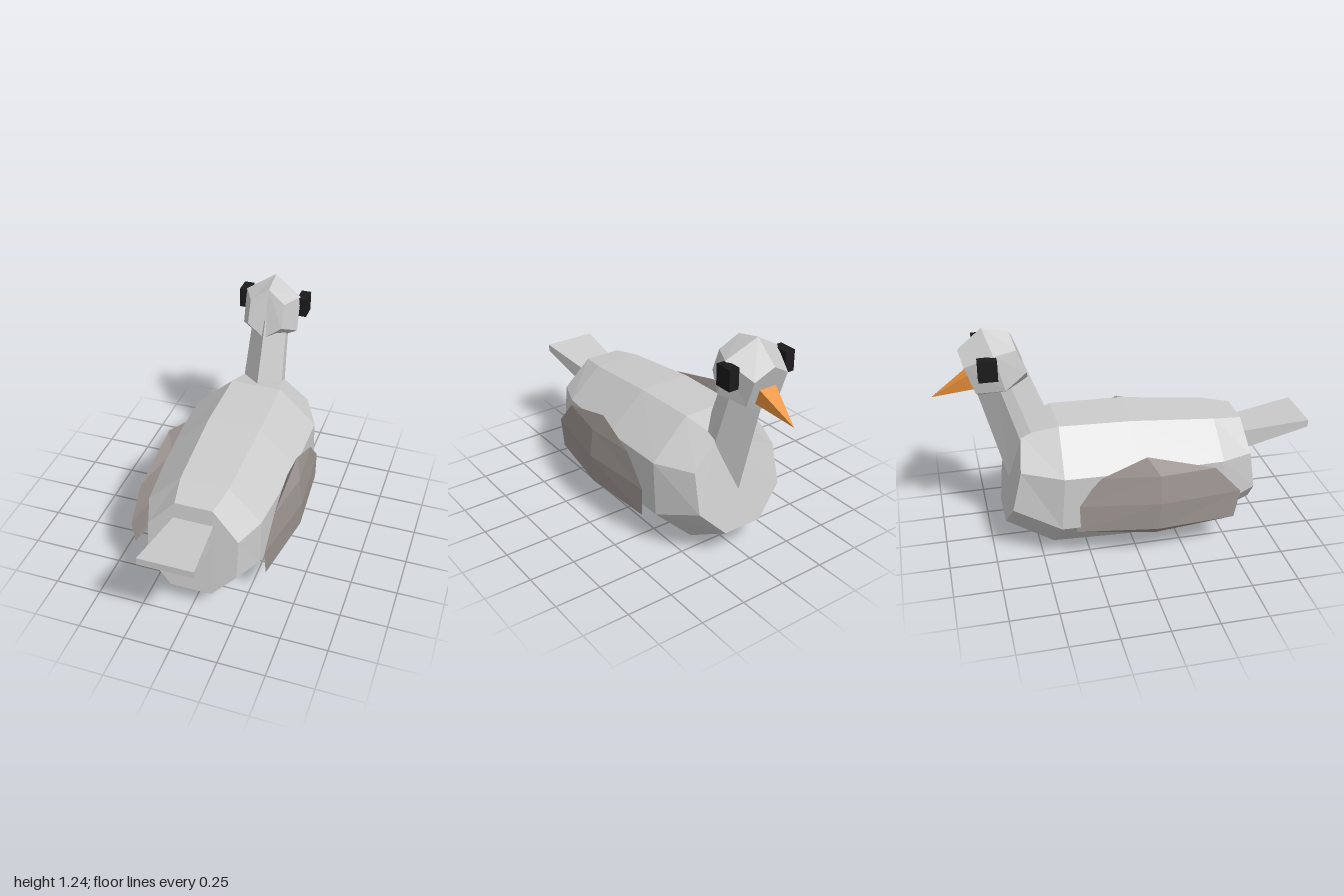
import * as THREE from 'three';

const grey = new THREE.MeshStandardMaterial({ color: 0xcccccc, flatShading: true });
const wingMat = new THREE.MeshStandardMaterial({ color: 0x9c9490, flatShading: true });
const beakMat = new THREE.MeshStandardMaterial({ color: 0xe8913a, flatShading: true });
const eyeMat = new THREE.MeshStandardMaterial({ color: 0x1c1a1c, flatShading: true });

// Complete a half cross-section (x >= 0, top to bottom) with its mirror image.
const mirrorRing = (half) => [
  ...half,
  ...half.filter((p) => p[0] > 0).reverse().map(([x, y, z]) => [-x, y, z]),
];

// Faceted closed skin over rings of equal point count, turned to face outward.
function loft(rings) {
  const tris = [];
  const n = rings[0].length;
  for (let r = 0; r < rings.length - 1; r++) {
    for (let i = 0; i < n; i++) {
      const j = (i + 1) % n;
      const [a, b, c, d] = [rings[r][i], rings[r][j], rings[r + 1][j], rings[r + 1][i]];
      tris.push([a, b, c], [a, c, d]);
    }
  }
  const first = rings[0], last = rings[rings.length - 1];
  for (let i = 1; i < n - 1; i++) {
    tris.push([first[0], first[i + 1], first[i]], [last[0], last[i], last[i + 1]]);
  }
  const v = (p) => new THREE.Vector3(...p);
  let volume = 0;
  for (const [a, b, c] of tris) volume += v(a).dot(v(b).cross(v(c)));
  if (volume < 0) tris.forEach((t) => t.reverse());
  const geo = new THREE.BufferGeometry();
  geo.setAttribute('position', new THREE.Float32BufferAttribute(tris.flat(2), 3));
  geo.computeVertexNormals();
  return geo;
}

export function createModel() {
  const model = new THREE.Group();
  model.name = 'waterBird';
  const add = (name, geo, mat = grey) => {
    const mesh = new THREE.Mesh(geo, mat);
    mesh.name = name;
    model.add(mesh);
    return mesh;
  };

  // Octagonal body, from the tail end to the breast
  add('body', loft([
    [[0.10, 0.63, 0.62], [0.24, 0.48, 0.64], [0.24, 0.27, 0.67], [0.11, 0.13, 0.69]],
    [[0.13, 0.655, 0.46], [0.305, 0.487, 0.47], [0.305, 0.23, 0.48], [0.13, 0.055, 0.48]],
    [[0.145, 0.702, 0.0], [0.35, 0.507, 0.0], [0.35, 0.215, 0.0], [0.145, 0.0, 0.0]],
    [[0.14, 0.712, -0.38], [0.35, 0.515, -0.39], [0.35, 0.22, -0.41], [0.14, 0.015, -0.43]],
    [[0.10, 0.665, -0.575], [0.25, 0.525, -0.60], [0.255, 0.31, -0.65], [0.11, 0.16, -0.68]],
  ].map(mirrorRing)));

  // Flat tail, widening to the rear
  add('tail', loft([
    [[0.145, 0.59, 1.0], [0.145, 0.55, 1.0]],
    [[0.102, 0.54, 0.60], [0.107, 0.43, 0.62]],
  ].map(mirrorRing)));

  // Leaning six-sided neck
  add('neck', loft([
    [[0, 0.37, -0.28], [0.125, 0.37, -0.42], [0.125, 0.37, -0.50], [0, 0.37, -0.64]],
    [[0, 1.045, -0.535], [0.098, 1.0, -0.627], [0.098, 0.96, -0.672], [0, 0.90, -0.778]],
  ].map(mirrorRing)));

  // Head: three hexagons, smallest at the face and the nape
  add('head', loft([
    [[0, 1.205, -0.595], [0.097, 1.14, -0.572], [0.097, 1.015, -0.525], [0, 0.945, -0.51]],
    [[0, 1.235, -0.73], [0.157, 1.14, -0.69], [0.157, 0.952, -0.64], [0, 0.87, -0.63]],
    [[0, 1.13, -0.855], [0.10, 1.07, -0.835], [0.10, 0.925, -0.785], [0, 0.87, -0.765]],
  ].map(mirrorRing)));

  // Pointed beak
  add('beak', loft([
    [[0.055, 1.025, -0.79], [0.05, 0.93, -0.77]],
    [[0.001, 0.886, -1.0], [0.001, 0.884, -1.0]],
  ].map(mirrorRing)), beakMat);

  for (const [side, s] of [['left', 1], ['right', -1]]) {
    // Block eyes
    add(side + 'Eye', new THREE.BoxGeometry(0.055, 0.11, 0.095), eyeMat)
      .position.set(s * 0.168, 1.08, -0.725);

    // Wings: flattened lozenge sections [y, rear z, front z, inner x, outer x]
    const sections = [
      [0.60, 0.037, 0.033, 0.362, 0.366],
      [0.50, 0.40, -0.20, 0.325, 0.40],
      [0.345, 0.54, -0.34, 0.315, 0.42],
      [0.19, 0.51, -0.335, 0.31, 0.413],
      [0.14, 0.087, 0.083, 0.362, 0.366],
    ];
    add(side + 'Wing', loft(sections.map(([y, rear, front, inner, outer]) => {
      const mid = (rear + front) / 2;
      return [[0.365, rear], [outer, mid], [0.365, front], [inner, mid]]
        .map(([x, z]) => [s * x - 0.045 * (z - 0.08), y, z]);
    })), wingMat);
  }

  return model;
}
